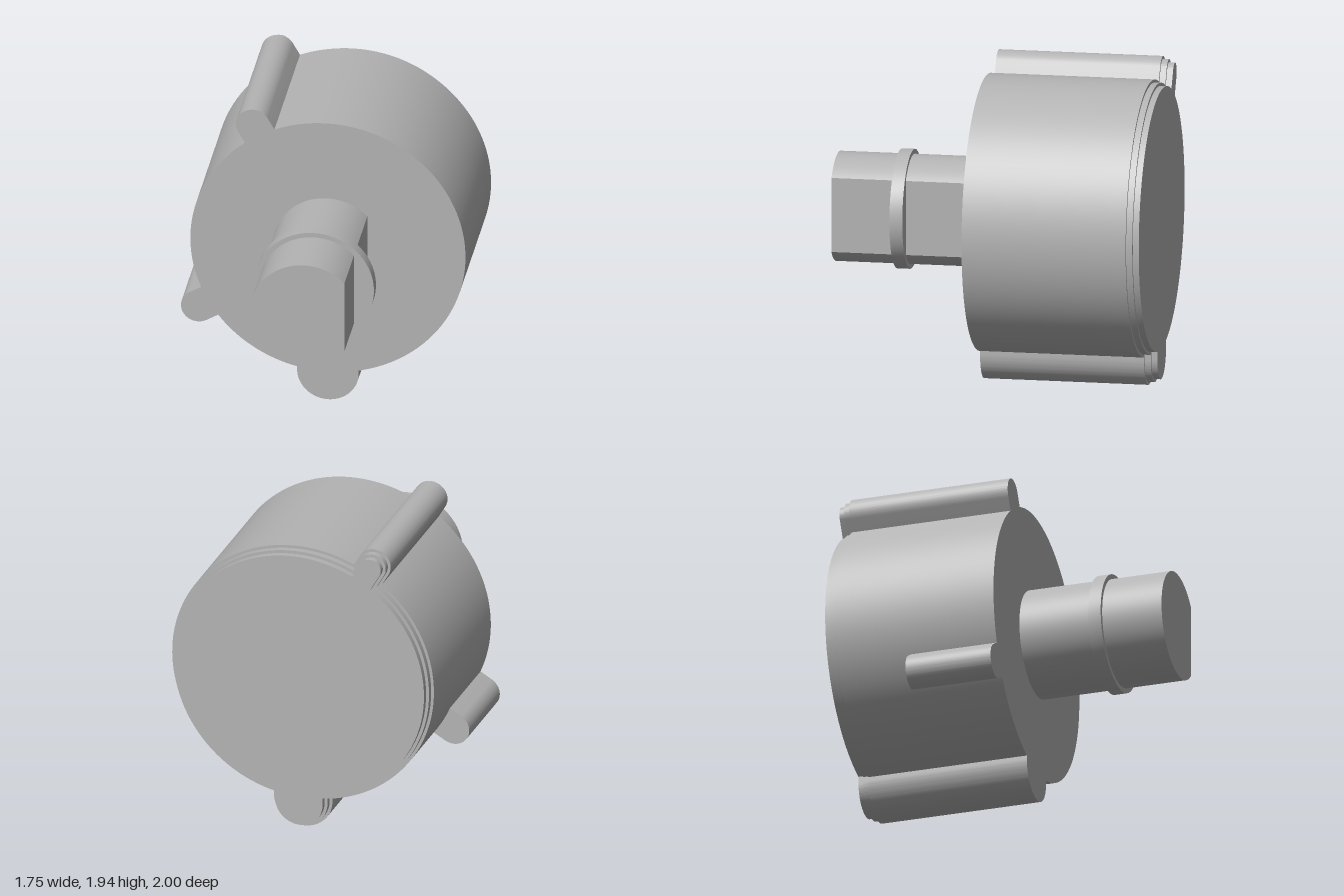
import * as THREE from 'three';
import { toCreasedNormals } from 'three/addons/utils/BufferGeometryUtils.js';

const CX = 0.027, CY = 1.037; // common axis of body and shaft
const R = 0.848;
const rad = THREE.MathUtils.degToRad;

// Rounded lugs: direction, distance of their centre from the axis, radius
const TOP_LUG = { angle: rad(120), dist: 0.925, r: 0.105 };
const SIDE_LUG = { angle: rad(210), dist: 0.925, r: 0.105 };
const BOTTOM_LUG = { angle: rad(270), dist: 0.847, r: 0.19 };

function addLugArc(shape, { angle, dist, r }) {
  shape.absarc(Math.cos(angle) * dist, Math.sin(angle) * dist, r,
    angle - Math.PI / 2, angle + Math.PI / 2, false);
}

// Disc outline with the top and bottom lugs, shrunk by inset
function bodyOutline(inset) {
  const shape = new THREE.Shape();
  const radius = R - inset;
  const lugs = [TOP_LUG, BOTTOM_LUG].map((l) => ({ ...l, r: l.r - inset }));
  const spread = (l) => Math.asin(l.r / radius);
  let from = lugs[1].angle + spread(lugs[1]) - Math.PI * 2;
  for (const lug of lugs) {
    shape.absarc(0, 0, radius, from, lug.angle - spread(lug), false);
    addLugArc(shape, lug);
    from = lug.angle + spread(lug);
  }
  shape.closePath();
  return shape;
}

// Lug that sits on the disc's curved wall
function lugOutline(lug) {
  const shape = new THREE.Shape();
  const s = Math.asin(lug.r / R);
  shape.absarc(0, 0, R, lug.angle + s, lug.angle - s, true);
  addLugArc(shape, lug);
  shape.closePath();
  return shape;
}

export function createModel() {
  const group = new THREE.Group();
  const grey = new THREE.MeshStandardMaterial({ color: 0xb3b3b3 });
  grey.name = 'plain grey';

  function extrude(name, shape, zBack, zFront) {
    const geo = new THREE.ExtrudeGeometry(shape, {
      depth: zFront - zBack, bevelEnabled: false, curveSegments: 36,
    });
    const mesh = new THREE.Mesh(toCreasedNormals(geo, 0.5), grey);
    mesh.name = name;
    mesh.position.set(CX, CY, zBack);
    group.add(mesh);
  }

  // Housing with two stepped layers at the back
  extrude('housing', bodyOutline(0), -0.925, 0.09);
  extrude('backStepOuter', bodyOutline(0.018), -0.963, -0.925);
  extrude('backStepInner', bodyOutline(0.037), -1, -0.963);

  // Shorter lug on the side
  extrude('sideLug', lugOutline(SIDE_LUG), -0.455, 0.09);

  // Shaft with one flat side
  const shaft = new THREE.Shape();
  const flat = Math.acos(0.243 / 0.336);
  shaft.absarc(0, 0, 0.336, flat, Math.PI * 2 - flat, false);
  shaft.closePath();
  extrude('shaft', shaft, 0.09, 1);

  // Round collar on the shaft
  const collar = new THREE.Shape();
  collar.absarc(0, 0, 0.366, 0, Math.PI * 2, false);
  extrude('collar', collar, 0.54, 0.62);

  return group;
}
